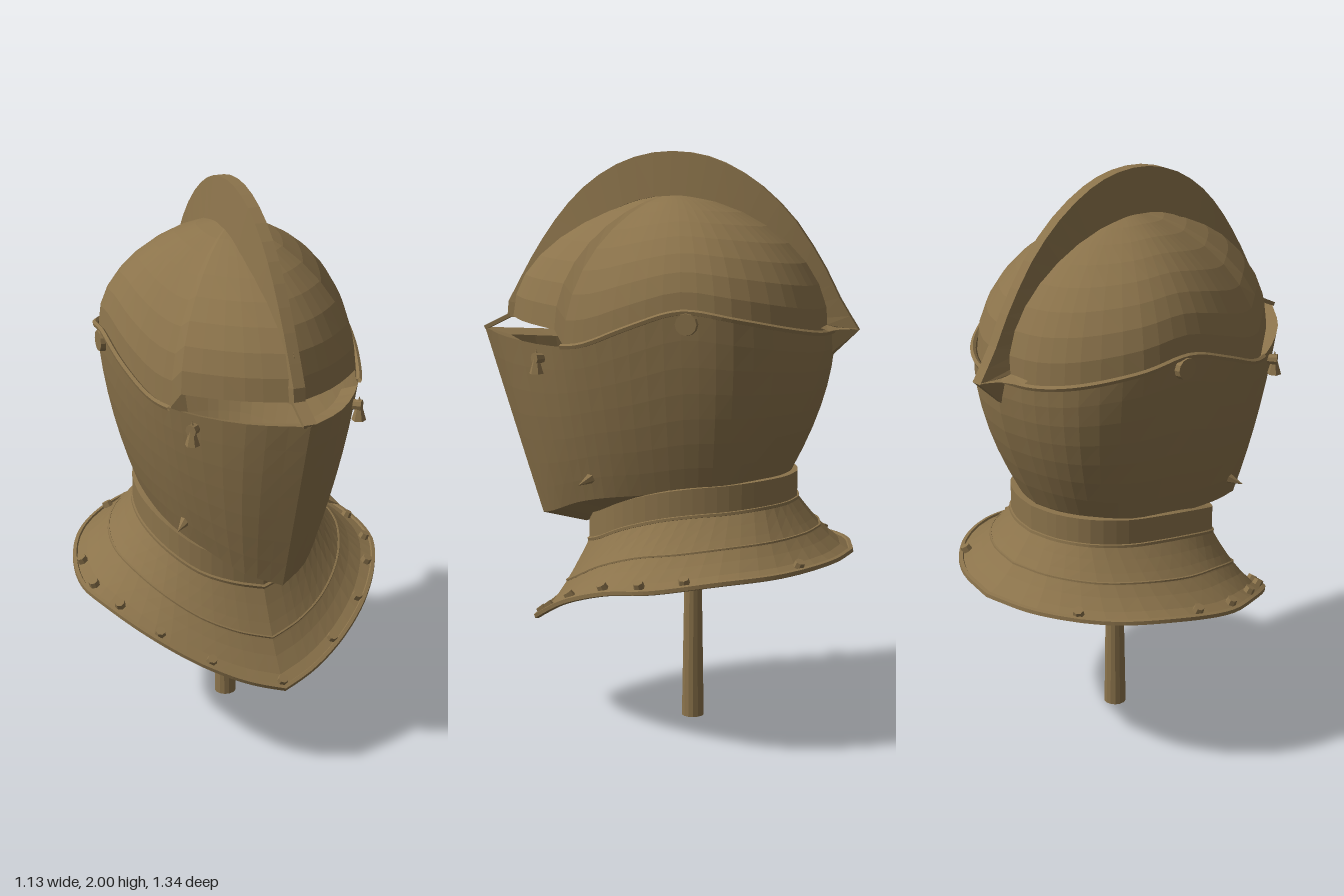
import * as THREE from 'three';

const V = (x, y, z) => new THREE.Vector3(x, y, z);
const HALF = 27;

// Half outlines, from front centre to back centre: [x, y, z]
const BROW = [[0, 1.385, 0.67], [0.165, 1.368, 0.54], [0.315, 1.355, 0.335], [0.37, 1.365, 0.22], [0.415, 1.43, 0.05],
  [0.425, 1.485, -0.13], [0.4, 1.46, -0.3], [0.28, 1.42, -0.47], [0.15, 1.4, -0.55], [0, 1.4, -0.585]];
const CHEEK = [[0, 1.05, 0.565], [0.15, 1.05, 0.465], [0.27, 1.07, 0.31], [0.33, 1.1, 0.19], [0.37, 1.13, 0.04],
  [0.385, 1.17, -0.13], [0.36, 1.17, -0.29], [0.26, 1.17, -0.45], [0.14, 1.17, -0.52], [0, 1.17, -0.55]];
const JAW = [[0, 0.72, 0.46], [0.11, 0.75, 0.39], [0.2, 0.8, 0.28], [0.26, 0.83, 0.17], [0.29, 0.85, 0.03],
  [0.3, 0.87, -0.12], [0.28, 0.88, -0.25], [0.2, 0.9, -0.36], [0.1, 0.91, -0.42], [0, 0.91, -0.44]];
const NECK = [[0, 0.63, 0.29], [0.1, 0.65, 0.26], [0.2, 0.68, 0.2], [0.28, 0.73, 0.1], [0.32, 0.77, -0.03],
  [0.32, 0.79, -0.15], [0.29, 0.8, -0.27], [0.22, 0.81, -0.38], [0.11, 0.81, -0.44], [0, 0.81, -0.46]];
const SKIRT = [[0, 0.335, 0.49], [0.12, 0.367, 0.452], [0.26, 0.425, 0.38], [0.4, 0.5, 0.265], [0.51, 0.56, 0.1],
  [0.555, 0.58, -0.05], [0.515, 0.61, -0.27], [0.4, 0.62, -0.46], [0.2, 0.63, -0.605], [0, 0.63, -0.65]];

const curve = (pts) => new THREE.CatmullRomCurve3(pts.map((p) => V(...p)));

// Full closed ring from a half outline, mirrored across x
function ring(pts) {
  const c = curve(pts), half = [];
  for (let i = 0; i <= HALF; i++) half.push(c.getPoint(i / HALF));
  const other = half.slice(1, -1).reverse().map((p) => V(-p.x, p.y, p.z));
  return [...half, ...other];
}

// Skin between cross-sections
function loft(rings, closed = true) {
  const n = rings[0].length, pos = [], idx = [];
  rings.forEach((r) => r.forEach((p) => pos.push(p.x, p.y, p.z)));
  for (let j = 0; j < rings.length - 1; j++) {
    for (let i = 0; i < (closed ? n : n - 1); i++) {
      const a = j * n + i, b = j * n + (i + 1) % n;
      idx.push(a, a + n, b, b, a + n, b + n);
    }
  }
  const g = new THREE.BufferGeometry();
  g.setAttribute('position', new THREE.Float32BufferAttribute(pos, 3));
  g.setIndex(idx);
  g.computeVertexNormals();
  return g;
}

export function createModel() {
  const bronze = new THREE.MeshStandardMaterial({ color: 0x8b734b, flatShading: true, side: THREE.DoubleSide });
  bronze.name = 'bronze';
  const model = new THREE.Group();
  model.name = 'helmet';
  const add = (name, geo) => {
    const m = new THREE.Mesh(geo, bronze);
    m.name = name;
    model.add(m);
    return m;
  };
  const bead = (name, pts, r) =>
    add(name, new THREE.TubeGeometry(new THREE.CatmullRomCurve3(pts, true, 'catmullrom', 0.2), 96, r, 5, true));

  const brow = ring(BROW), cheek = ring(CHEEK), jaw = ring(JAW), neck = ring(NECK), skirt = ring(SKIRT);

  // Visor and back bowl: quadratic through three outlines, tucked under at the jaw
  const bowl = [];
  for (let j = 0; j <= 7; j++) {
    const t = j / 7;
    bowl.push(brow.map((p, i) => p.clone().multiplyScalar((1 - t) * (1 - 2 * t))
      .addScaledVector(cheek[i], 4 * t * (1 - t)).addScaledVector(jaw[i], t * (2 * t - 1))));
  }
  bowl.push(jaw.map((p) => V(p.x * 0.85, p.y - 0.025, p.z > 0 ? p.z * 0.65 : p.z * 0.97)));
  add('visorAndBackBowl', loft(bowl));

  // Skull dome, set back at the front to leave the sight slit
  const base = brow.map((p) => {
    const k = Math.max(0, (p.z - 0.33) / 0.34), s = 0.98 - 0.13 * k;
    return V(p.x * s, p.z > 0.33 ? 1.41 + 0.02 * k : p.y, p.z * s);
  });
  const dome = [];
  for (let j = 0; j <= 9; j++) {
    const a = (j / 9) * Math.PI / 2, c = Math.max(0, Math.cos(a)), side = Math.pow(c, 1.3);
    dome.push(base.map((p) => V(p.x * side, p.y + (1.86 - p.y) * Math.sin(a),
      -0.02 + (p.z + 0.02) * (p.z > 0 ? side : Math.pow(c, 1.1)))));
  }
  add('skullDome', loft(dome));

  // Inner ledge below the sight slit
  const front = [...brow.slice(HALF), ...brow.slice(0, HALF)].filter((p) => p.z > 0.32);
  add('sightLedge', loft([front, front.map((p) => V(p.x * 0.88, p.y - 0.025, p.z * 0.86))], false));

  // Raised lip along the brow edge, sides and back
  const lip = brow.filter((p) => p.z < 0.3).map((p) => V(p.x * 1.005, p.y, p.z * 1.005));
  add('browLip', new THREE.TubeGeometry(new THREE.CatmullRomCurve3(lip), 70, 0.01, 5));

  // Comb: tapered section swept over the dome
  const comb = new THREE.SplineCurve([[0.575, 1.48], [0.49, 1.635], [0.4, 1.77], [0.3, 1.88], [0.18, 1.96],
    [0.05, 2], [-0.08, 2], [-0.2, 1.965], [-0.33, 1.885], [-0.45, 1.765], [-0.55, 1.61], [-0.6, 1.51], [-0.668, 1.4]]
    .map((p) => new THREE.Vector2(...p))).getPoints(24);
  const sections = [new THREE.Vector2(0.58, 1.425), ...comb].map(({ x: z, y }) => {
    const iz = z * 0.84, iy = 1.42 + Math.max(0, y - 1.42) * 0.74;
    return [V(0.02, y, z), V(-0.02, y, z), V(-0.045, iy, iz), V(0.045, iy, iz)];
  });
  add('comb', loft(sections));
  add('combFrontEnd', loft([[sections[0][0], sections[0][1]], [sections[0][3], sections[0][2]]], false));

  // Nose strip from the comb down to the visor point
  const nose = add('noseStrip', new THREE.BoxGeometry(0.045, 0.014, 0.11));
  nose.position.set(0, 1.409, 0.615);
  nose.rotation.x = 0.46;

  // Tail spur under the back of the comb, with flared wings
  add('tailSpur', loft([
    [V(0.045, 1.42, -0.56), V(0.02, 1.4, -0.668), V(-0.02, 1.4, -0.668), V(-0.045, 1.42, -0.56)],
    [V(0.02, 1.31, -0.56), V(0.01, 1.31, -0.575), V(-0.01, 1.31, -0.575), V(-0.02, 1.31, -0.56)]]));
  for (const s of [1, -1]) {
    add('tailWing', loft([[V(s * 0.02, 1.405, -0.668), V(s * 0.05, 1.405, -0.61), V(s * 0.12, 1.405, -0.575)],
      [V(s * 0.02, 1.42, -0.56), V(s * 0.05, 1.42, -0.56), V(s * 0.12, 1.415, -0.55)]], false));
  }

  // Neck collar, with a cap that holds the post
  const collarTop = neck.map((p) => V(p.x, p.y + 0.095, p.z));
  add('collar', loft([neck, collarTop, collarTop.map((p) => V(p.x * 0.9, p.y, p.z * 0.9))]));
  add('neckCap', loft([neck, neck.map(() => V(0, 0.775, -0.09))]));
  bead('collarSeam', neck, 0.008);

  // Flared gorget
  const flare = (a, b, s) => {
    const p = a.clone().lerp(b, s);
    p.y = a.y + (b.y - a.y) * (1 - Math.pow(1 - s, 1.4));
    return p;
  };
  const flareRing = (s) => neck.map((p, i) => flare(p, skirt[i], s));
  add('gorget', loft([0, 0.15, 0.3, 0.45, 0.6, 0.8, 1].map(flareRing)));
  bead('gorgetSeam', flareRing(0.42), 0.005);
  bead('gorgetRim', skirt, 0.011);

  // Rivets around the gorget, standing along its surface normal
  const neckHalf = curve(NECK), skirtHalf = curve(SKIRT);
  const at = (t, s) => flare(neckHalf.getPoint(t), skirtHalf.getPoint(t), s);
  const rivet = new THREE.CylinderGeometry(0.017, 0.021, 0.032, 7);
  for (const t of [0, 0.2, 0.32, 0.42, 0.52, 0.61, 0.82]) {
    const p = at(t, 0.88);
    const n = at(t + 0.02, 0.88).sub(p).cross(at(t, 0.95).sub(p)).normalize();
    if (n.y < 0) n.negate();
    for (const s of t === 0 ? [0] : [1, -1]) {
      const up = V(s * n.x, n.y, n.z).normalize();
      const m = add('gorgetRivet', rivet);
      m.position.set(s * p.x, p.y, p.z).addScaledVector(up, 0.006);
      m.quaternion.setFromUnitVectors(V(0, 1, 0), up);
    }
  }

  for (const s of [1, -1]) {
    // Pivot bolts
    const pivot = add('pivotBolt', new THREE.CylinderGeometry(0.036, 0.04, 0.036, 12));
    pivot.position.set(s * 0.422, 1.447, -0.15);
    pivot.rotation.z = -s * Math.PI / 2;
    // Visor catches: short peg with a slim hanging leaf
    const dir = V(s * 0.75, 0, 0.6).normalize();
    const peg = add('catchPeg', new THREE.CylinderGeometry(0.02, 0.016, 0.05, 8));
    peg.position.set(s * 0.283, 1.31, 0.385);
    peg.quaternion.setFromUnitVectors(V(0, 1, 0), dir);
    const leaf = add('catchLeaf', new THREE.ConeGeometry(0.025, 0.085, 6));
    leaf.position.set(s * 0.295, 1.3, 0.395);
    // Lower hooks
    const hook = add('lowerHook', new THREE.ConeGeometry(0.024, 0.07, 6));
    hook.position.set(s * 0.275, 0.89, 0.23);
    hook.quaternion.setFromUnitVectors(V(0, 1, 0), V(s * 0.6, -0.3, 0.5).normalize());
  }

  // Display post
  const post = add('post', new THREE.CylinderGeometry(0.027, 0.04, 0.78, 14));
  post.position.set(0, 0.39, -0.09);
  return model;
}
